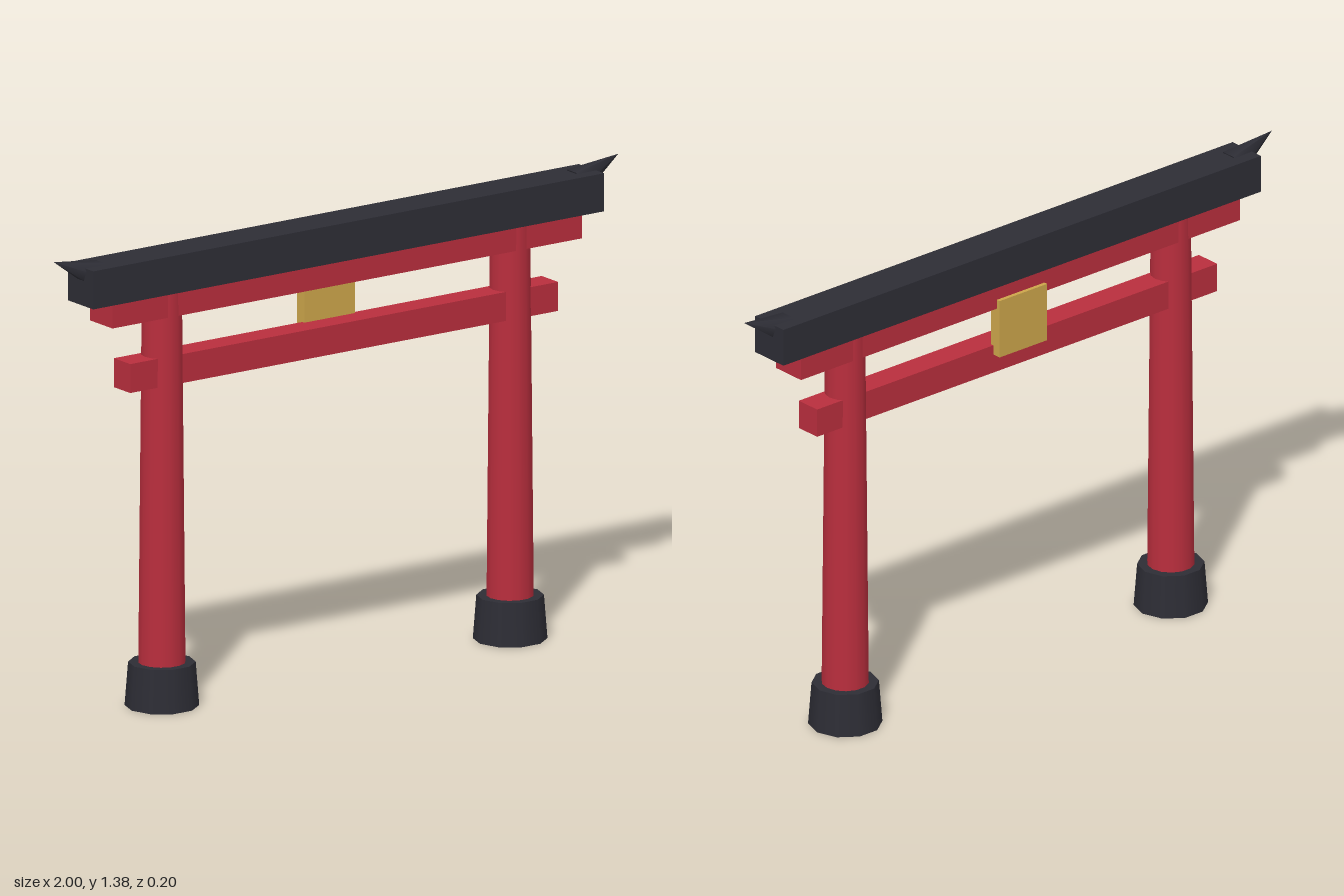
import * as THREE from 'three';

export function createModel() {
  const group = new THREE.Group();
  const paint = (name, color) => {
    const m = new THREE.MeshStandardMaterial({ color });
    m.name = name;
    return m;
  };
  const red = paint('vermilion', 0xb92e3d);
  const black = paint('charcoal', 0x2d2d35);
  const gold = paint('gold', 0xcda64b);

  const add = (name, geometry, material, x, y, z) => {
    const mesh = new THREE.Mesh(geometry, material);
    mesh.name = name;
    mesh.position.set(x, y, z);
    group.add(mesh);
  };
  // Box given by its width, bottom, top and back/front faces
  const beam = (name, material, width, y0, y1, z0, z1) =>
    add(name, new THREE.BoxGeometry(width, y1 - y0, z1 - z0), material, 0, (y0 + y1) / 2, (z0 + z1) / 2);
  // Tapered round post with a corner towards +x
  const post = (name, material, x, rTop, rBottom, y0, y1, sides) =>
    add(name, new THREE.CylinderGeometry(rTop, rBottom, y1 - y0, sides).rotateY(Math.PI / 2),
      material, x, (y0 + y1) / 2, 0);

  // Horizontal members
  beam('topLintel', black, 1.81, 1.235, 1.348, -0.062, 0.062);
  beam('upperBeam', red, 1.664, 1.165, 1.235, -0.055, 0.055);
  beam('tieBeam', red, 1.516, 0.958, 1.044, -0.04, 0.04);

  // Plaque on the back of the beams
  beam('plaque', gold, 0.18, 1.015, 1.193, -0.067, -0.03);

  for (const [side, s] of [['left', 1], ['right', -1]]) {
    post(side + 'Pillar', red, s * 0.617, 0.0585, 0.069, 0.1, 1.236, 14);
    post(side + 'PillarBase', black, s * 0.617, 0.097, 0.107, 0, 0.129, 10);

    // Upswept pointed lintel tip
    const tilt = THREE.MathUtils.degToRad(68);
    const horn = new THREE.ConeGeometry(0.045, 0.163, 6).rotateZ(-s * tilt);
    add(side + 'LintelTip', horn, black, s * 0.9245, 1.3465, 0);
  }
  return group;
}
